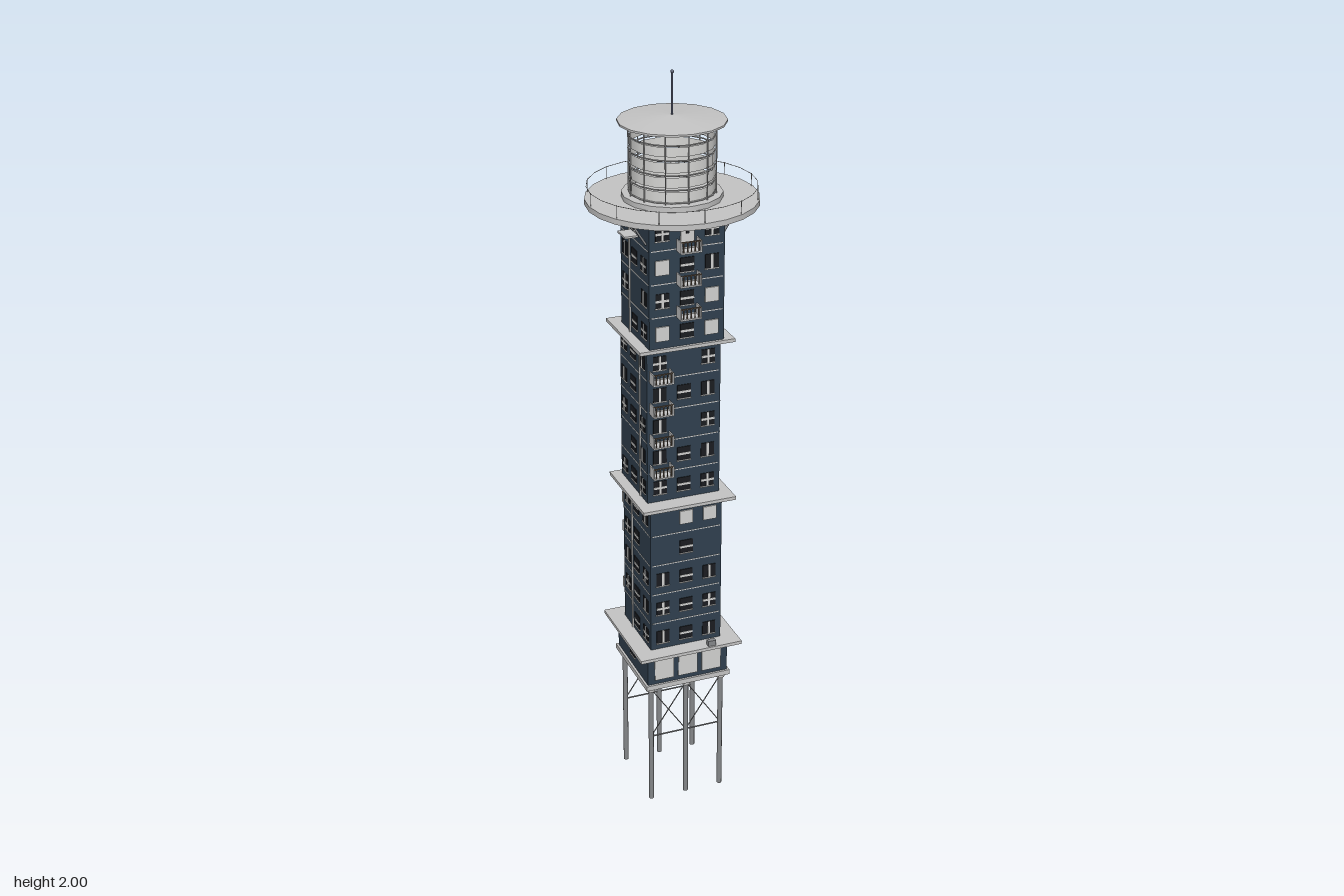
import * as THREE from 'three';

const mat = (name, color, side = THREE.FrontSide) => {
  const m = new THREE.MeshStandardMaterial({ color, side });
  m.name = name;
  return m;
};

export function createModel() {
  const root = new THREE.Group();
  root.name = 'tower';
  const navy = mat('navy cladding', 0x30404f);
  const concrete = mat('pale concrete', 0xc4c4c4);
  const trim = mat('pale trim', 0xd2d2d0);
  const dark = mat('dark glass', 0x1a1c20);
  const steel = mat('steel', 0x85878a);
  const wood = mat('railing brown', 0x685a4b);
  const glass = mat('lantern glass', 0xd6d6d4, THREE.DoubleSide);
  const mastBlue = mat('mast blue grey', 0x50566a);

  const add = (parent, name, geo, material, x = 0, y = 0, z = 0) => {
    const m = new THREE.Mesh(geo, material);
    m.name = name;
    m.position.set(x, y, z);
    parent.add(m);
    return m;
  };
  const box = (p, name, material, w, h, d, x, y, z) =>
    add(p, name, new THREE.BoxGeometry(w, h, d), material, x, y, z);
  const cyl = (p, name, material, r, h, seg, x, y, z) =>
    add(p, name, new THREE.CylinderGeometry(r, r, h, seg), material, x, y, z);
  // Thin bar between two points
  const bar = (p, name, material, a, b, r) => {
    const A = new THREE.Vector3(...a), B = new THREE.Vector3(...b);
    const d = B.clone().sub(A);
    const m = cyl(p, name, material, r, d.length(), 6, 0, 0, 0);
    m.position.copy(A).add(B).multiplyScalar(0.5);
    m.quaternion.setFromUnitVectors(new THREE.Vector3(0, 1, 0), d.normalize());
  };
  const ring = (p, name, material, r, t, y, seg) => {
    const m = add(p, name, new THREE.TorusGeometry(r, t, 4, seg), material, 0, y, 0);
    m.rotation.x = Math.PI / 2;
  };

  // Legs with caps and cross bracing
  const legs = new THREE.Group();
  legs.name = 'legs';
  root.add(legs);
  for (const z of [-0.1, 0.1]) {
    for (const x of [-0.1, 0, 0.1]) {
      cyl(legs, 'leg', steel, 0.0068, 0.36, 10, x, 0.18, z);
      cyl(legs, 'legCap', concrete, 0.012, 0.012, 10, x, 0.352, z);
    }
    bar(legs, 'crossbar', steel, [-0.1, 0.2, z], [0.1, 0.2, z], 0.002);
    for (const x of [-0.1, 0]) {
      bar(legs, 'brace', steel, [x, 0.2, z], [x + 0.1, 0.35, z], 0.0015);
      bar(legs, 'brace', steel, [x + 0.1, 0.2, z], [x, 0.35, z], 0.0015);
    }
  }

  // Base storey, tower sections and the slabs between them
  box(root, 'floorPlate', concrete, 0.238, 0.014, 0.238, 0, 0.365, 0);
  box(root, 'baseStorey', navy, 0.226, 0.092, 0.226, 0, 0.416, 0);
  box(root, 'lowerSection', navy, 0.198, 0.43, 0.198, 0, 0.68, 0);
  box(root, 'middleSection', navy, 0.198, 0.43, 0.19, 0, 1.11, -0.015);
  box(root, 'upperSection', navy, 0.198, 0.35, 0.198, 0, 1.5, 0);
  box(root, 'lowerSlab', concrete, 0.286, 0.009, 0.286, 0, 0.466, 0);
  box(root, 'middleSlab', concrete, 0.254, 0.009, 0.254, 0, 0.894, 0);
  box(root, 'upperSlab', concrete, 0.254, 0.009, 0.244, 0, 1.327, -0.015);
  box(root, 'planter', steel, 0.022, 0.016, 0.012, 0.06, 0.478, 0.132);

  // Window kinds: + cross, = two stacked panes, | two tall panes, o blind, d door
  function pane(face, kind, u, y, d) {
    const g = new THREE.Group();
    g.name = kind === 'd' ? 'door' : 'window';
    g.position.set(u, y, d);
    face.add(g);
    const w = 0.036, h = kind === 'd' ? 0.056 : 0.038;
    if (kind === 'o' || kind === 'd') {
      box(g, 'blind', trim, w, h, 0.005, 0, 0, 0.001);
      if (kind === 'd') box(g, 'doorGlass', dark, 0.008, 0.024, 0.002, 0, 0.006, 0.003);
      return;
    }
    box(g, 'glass', dark, w, h, 0.004, 0, 0, 0);
    if (kind !== '|') box(g, 'crossRail', trim, w, 0.006, 0.003, 0, 0, 0.0015);
    if (kind !== '=') box(g, 'mullion', trim, 0.006, h, 0.003, 0, 0, 0.0015);
    box(g, 'sill', trim, w + 0.002, 0.003, 0.005, 0, -h / 2, 0.001);
  }

  function balcony(face, u, y, d) {
    const g = new THREE.Group();
    g.name = 'balcony';
    g.position.set(u, y - 0.033, d);
    face.add(g);
    box(g, 'balconyFloor', concrete, 0.054, 0.004, 0.03, 0, -0.014, 0.015);
    for (const s of [-1, 1]) box(g, 'balconySide', concrete, 0.003, 0.03, 0.03, s * 0.026, 0, 0.015);
    for (let i = 0; i < 5; i++) box(g, 'baluster', wood, 0.0025, 0.028, 0.0025, -0.02 + i * 0.01, 0, 0.028);
    box(g, 'handrail', wood, 0.054, 0.0025, 0.004, 0, 0.014, 0.028);
  }

  const rowY = i => 1.63 - 0.0865 * i;
  // Each face: rows from the top floor down, columns left to right
  const faces = [
    { name: 'front', rows: ['+d+', 'o=|', '+=o', 'o=o', '+.+', '|=|', '|.+', '|=|', '+=+', '.oo', '.=.', '|=|', '+=+', '|=|'],
      balconies: [[0, 0], [1, 0], [2, 0], [4, -0.065], [5, -0.065], [6, -0.065], [7, -0.065]], ledges: [],
      pipes: [] },
    { name: 'right', rows: ['o..', '.=.', '+=+', '.=.', 'o=|', '.=|', '...', '..|', '.++', '|=.', '+=.', '|.|', '+.+', '.=.'],
      balconies: [], ledges: [], pipes: [-0.02, -0.02, 0.035] },
    { name: 'back', rows: ['+=+', '|=|', '.=+', '+=+', '|=+', '+=|', '|=.', '+.|', '+=+', '|=d', '+=d', '|.+', '+=d', '|=|'],
      balconies: [[9, 0.065], [10, 0.065], [12, 0.065]], ledges: [4, 6, 7], pipes: [0.033, 0.033, 0.033] },
    { name: 'left', rows: ['+=.', '|=+', '+.|', '.=+', '+=|', '|=.', '+=+', '.=|', '+=+', '|=|', '+=.', '|=+', '+=|', '.=+'],
      balconies: [], ledges: [0], pipes: [-0.033, 0.033, -0.033] },
  ];
  faces.forEach((f, k) => {
    const face = new THREE.Group();
    face.name = f.name + 'Face';
    face.rotation.y = k * Math.PI / 2;
    root.add(face);
    const section = i => (i < 4 ? 0 : i < 9 ? 1 : 2);
    const depth = s => (s !== 1 ? 0.099 : [0.08, 0.099, 0.11, 0.099][k]);
    const shift = s => (s !== 1 ? 0 : [0, 0.015, 0, -0.015][k]);
    f.rows.forEach((row, i) => {
      const s = section(i), d = depth(s);
      [...row].forEach((c, j) => {
        if (c !== '.') pane(face, c, (j - 1) * 0.065 + shift(s), rowY(i), d);
      });
      // Pale joint at floor lines
      if (i !== 3 && i !== 8 && i !== 13)
        box(face, 'floorJoint', trim, 0.188, 0.0025, 0.002, shift(s), rowY(i) - 0.043, d);
    });
    f.balconies.forEach(([i, u]) => balcony(face, u, rowY(i), depth(section(i))));
    f.ledges.forEach(i =>
      box(face, 'ledge', concrete, 0.05, 0.005, 0.035, 0, rowY(i) - 0.027, depth(section(i)) + 0.017));
    f.pipes.forEach((u, s) => {
      const [y0, y1] = [[1.33, 1.67], [0.9, 1.32], [0.47, 0.89]][s];
      box(face, 'drainPipe', trim, 0.005, y1 - y0, 0.005, u, (y0 + y1) / 2, depth(s) + 0.001);
    });
    // Base storey openings
    if (k === 0) {
      for (const u of [-0.067, 0, 0.067])
        box(face, 'baseWindow', trim, 0.054, 0.062, 0.005, u, 0.416, 0.114);
    } else pane(face, '=', 0, 0.42, 0.113);
  });

  // Observation deck with struts and railing
  const deck = new THREE.Group();
  deck.name = 'deck';
  root.add(deck);
  cyl(deck, 'deckDisc', concrete, 0.215, 0.014, 24, 0, 1.679, 0);
  for (const s of [-1, 1]) for (const z of [-0.08, 0.08])
    bar(deck, 'deckStrut', steel, [s * 0.099, 1.6, z], [s * 0.145, 1.673, z], 0.003);
  ring(deck, 'deckRail', concrete, 0.21, 0.0008, 1.717, 24);
  for (let i = 0; i < 12; i++) {
    const a = i * Math.PI / 6;
    cyl(deck, 'railPost', concrete, 0.001, 0.034, 5, 0.21 * Math.sin(a), 1.702, 0.21 * Math.cos(a));
  }

  // Lantern room: glass bands, hoops and columns
  const lantern = new THREE.Group();
  lantern.name = 'lantern';
  root.add(lantern);
  cyl(lantern, 'lanternBase', concrete, 0.125, 0.014, 16, 0, 1.692, 0);
  for (const [y, h] of [[1.717, 0.026], [1.753, 0.026], [1.79, 0.026], [1.829, 0.024]])
    add(lantern, 'glassBand', new THREE.CylinderGeometry(0.105, 0.105, h, 16, 1, true), glass, 0, y, 0);
  for (const y of [1.703, 1.735, 1.771, 1.808, 1.845]) ring(lantern, 'hoop', concrete, 0.107, 0.002, y, 16);
  for (let i = 0; i < 12; i++) {
    const a = i * Math.PI / 6;
    cyl(lantern, 'column', concrete, 0.0018, 0.18, 5, 0.108 * Math.sin(a), 1.788, 0.108 * Math.cos(a));
  }

  // Roof and mast
  cyl(root, 'roofRim', concrete, 0.134, 0.005, 16, 0, 1.877, 0);
  add(root, 'roofCone', new THREE.ConeGeometry(0.134, 0.012, 16), concrete, 0, 1.8855, 0);
  cyl(root, 'mast', mastBlue, 0.0028, 0.11, 8, 0, 1.94, 0);
  add(root, 'mastTip', new THREE.SphereGeometry(0.0045, 10, 8), mastBlue, 0, 1.9955, 0);
  return root;
}
